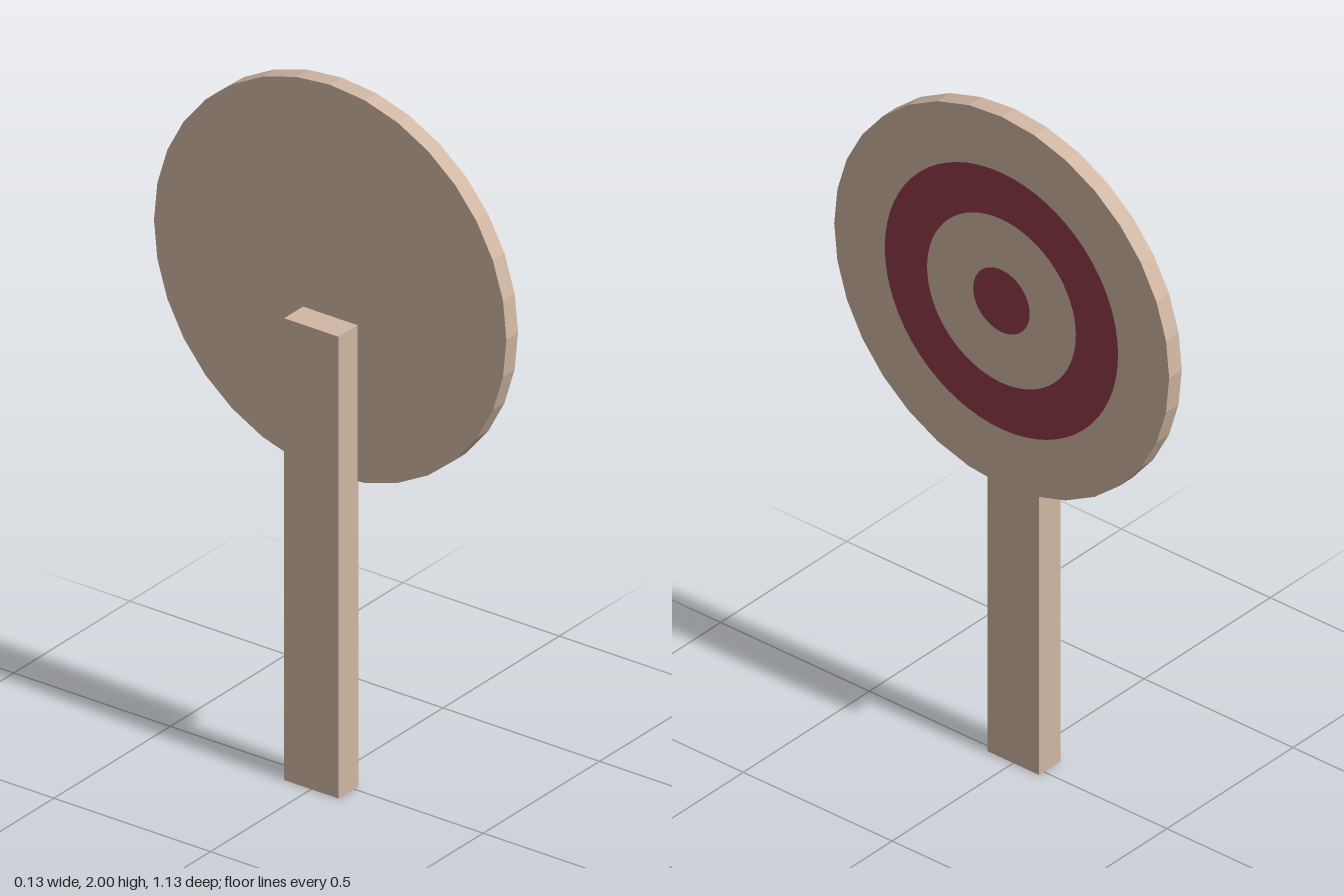
import * as THREE from 'three';

const paint = (color) => new THREE.MeshStandardMaterial({ color, flatShading: true });

export function createModel() {
  const model = new THREE.Group();
  const wood = paint(0xd0b7a3);
  const red = paint(0x923a4a);

  const add = (name, geometry, material, x, y, parent = model) => {
    const mesh = new THREE.Mesh(geometry, material);
    mesh.name = name;
    mesh.position.set(x, y, 0);
    parent.add(mesh);
    return mesh;
  };

  // Square post standing behind the board
  add('post', new THREE.BoxGeometry(0.085, 1.333, 0.174), wood, -0.0235, 0.6665);

  // Round board with its painted face toward +x
  const target = new THREE.Group();
  target.name = 'target';
  target.position.set(0.04, 1.437, 0);
  model.add(target);

  const disc = new THREE.CylinderGeometry(0.563, 0.563, 0.05, 32).rotateZ(-Math.PI / 2);
  add('board', disc, wood, 0, 0, target);

  // Painted band and centre spot, lying on the board
  const band = new THREE.RingGeometry(0.25, 0.392, 64).rotateY(Math.PI / 2);
  add('paintedBand', band, red, 0.026, 0, target);
  const spot = new THREE.CircleGeometry(0.095, 48).rotateY(Math.PI / 2);
  add('centreSpot', spot, red, 0.026, 0, target);

  return model;
}
